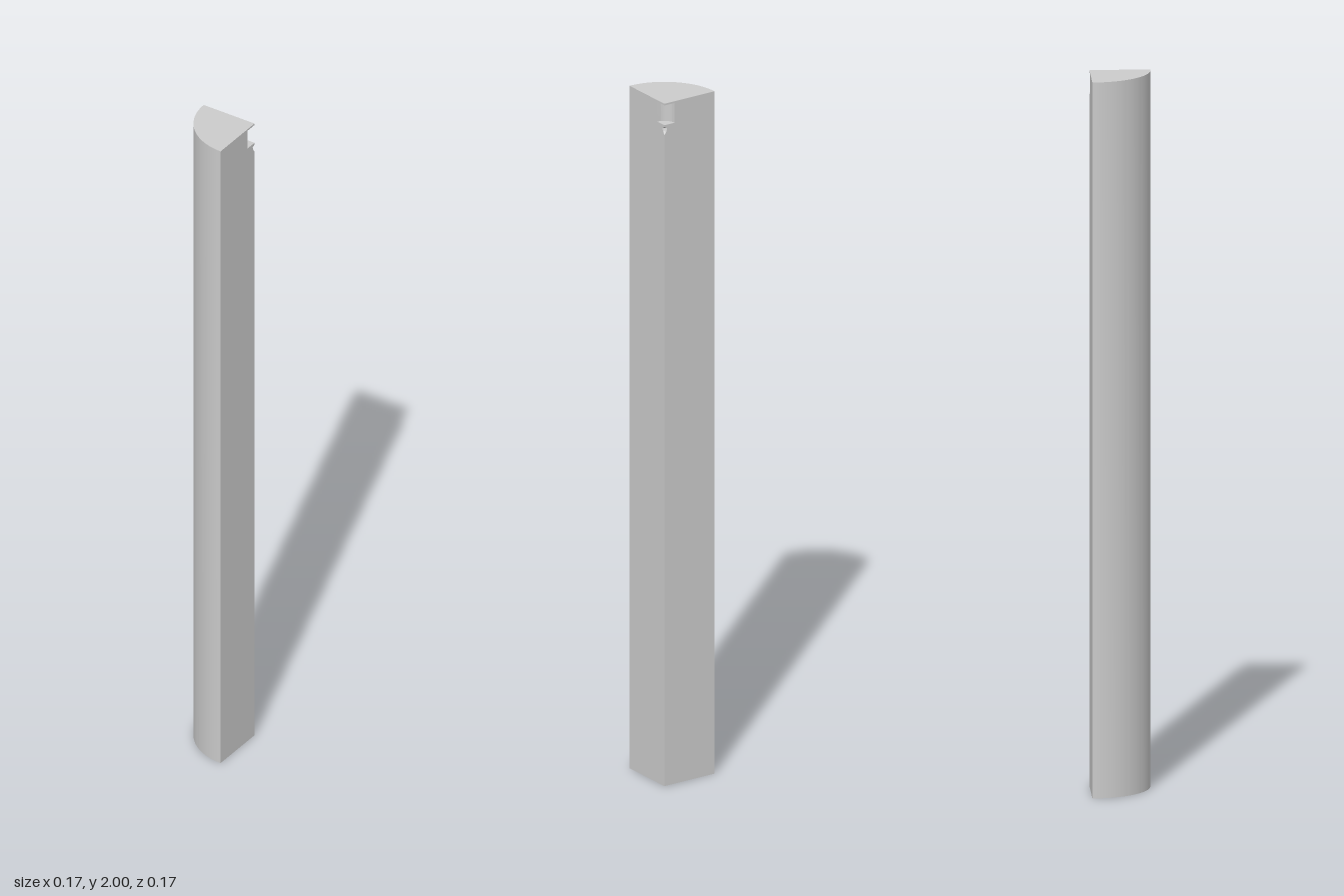
import * as THREE from 'three';
import { toCreasedNormals } from 'three/addons/utils/BufferGeometryUtils.js';

const R = 0.167;        // radius of the quarter round
const CORNER = R / 2;   // square corner sits at (CORNER, -CORNER)

// Radial section [r, y] about the square corner, from bottom to top:
// quarter-round body, thin cap, bored socket and small pointed undercut.
const section = [
  [0, 0], [R, 0], [R, 2], [0, 2],
  [0, 1.995], [0.034, 1.995], [0.034, 1.937], [0, 1.937],
  [0, 1.932], [0.009, 1.926], [0.007, 1.917], [0, 1.908],
];

export function createModel() {
  const group = new THREE.Group();
  group.name = 'quarterRoundPost';
  const material = new THREE.MeshStandardMaterial({ color: 0xcccccc });

  const add = (name, geometry, turn = 0) => {
    const mesh = new THREE.Mesh(geometry, material);
    mesh.name = name;
    mesh.rotation.y = turn;
    mesh.position.set(CORNER, 0, -CORNER);
    group.add(mesh);
  };

  // Curved front, top and bottom, and the notch surfaces
  const points = section.map(([r, y]) => new THREE.Vector2(r, y));
  const lathe = new THREE.LatheGeometry(points, 32, -Math.PI / 2, Math.PI / 2);
  add('curvedBody', toCreasedNormals(lathe, Math.PI / 6));

  // Flat faces meeting at the notched corner
  const face = (sign) => new THREE.ShapeGeometry(
    new THREE.Shape(section.map(([r, y]) => new THREE.Vector2(sign * r, y))));
  add('backFace', face(1), Math.PI);
  add('sideFace', face(-1), Math.PI / 2);

  return group;
}
